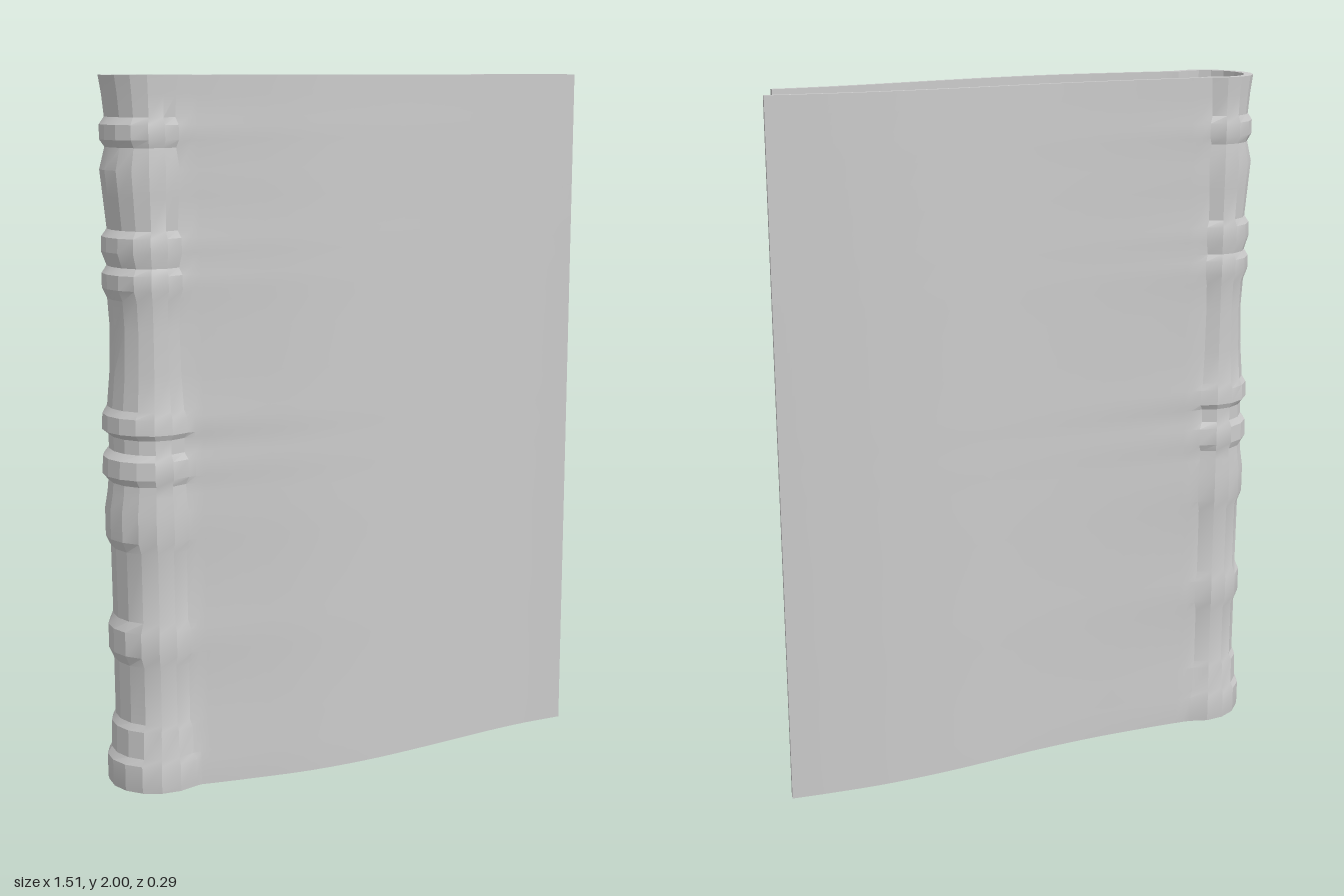
import * as THREE from 'three';
import { toCreasedNormals } from 'three/addons/utils/BufferGeometryUtils.js';

const grey = () => new THREE.MeshStandardMaterial({ color: 0xcccccc });
const curve = (pts, n) => new THREE.SplineCurve(pts.map(p => new THREE.Vector2(...p))).getPoints(n);

// Outline in plan (x, z), running back board -> spine -> front board
const backBoard = curve([[0.755, -0.1], [0.66, -0.112], [0.5, -0.127], [0.35, -0.13], [0.2, -0.125],
  [0, -0.112], [-0.2, -0.108], [-0.4, -0.116], [-0.515, -0.124]], 24);
const frontBoard = curve([[-0.52, 0.108], [-0.4, 0.124], [-0.2, 0.143], [0, 0.138], [0.2, 0.114],
  [0.4, 0.084], [0.55, 0.067], [0.69, 0.063]], 24);
const spine = [];
for (let i = 0; i <= 11; i++) {
  const a = -Math.PI / 3 - (i / 11) * (Math.PI * 4 / 3);
  spine.push({ x: -0.61 + 0.12 * Math.cos(a), y: -0.008 + 0.133 * Math.sin(a), a });
}
const outline = [...backBoard, ...spine, ...frontBoard];

// Spine silhouette: [height, leftmost x], giving the raised bands
const bands = [[0, -0.754], [0.01, -0.757], [0.08, -0.757], [0.1, -0.744], [0.18, -0.742], [0.2, -0.73],
  [0.37, -0.73], [0.4, -0.744], [0.47, -0.744], [0.5, -0.729], [0.7, -0.73], [0.73, -0.744], [0.81, -0.744],
  [0.86, -0.735], [0.89, -0.732], [0.91, -0.748], [0.96, -0.746], [0.98, -0.728], [1.02, -0.728],
  [1.035, -0.746], [1.08, -0.744], [1.1, -0.73], [1.2, -0.72], [1.32, -0.716], [1.4, -0.721], [1.43, -0.735],
  [1.47, -0.735], [1.49, -0.72], [1.53, -0.735], [1.57, -0.733], [1.59, -0.717], [1.68, -0.726],
  [1.75, -0.733], [1.81, -0.717], [1.83, -0.731], [1.87, -0.731], [1.89, -0.716], [1.95, -0.722], [2, -0.73]];

// Outline moved inwards by the board and spine thickness
function inset(board, back) {
  return outline.map((p, i) => {
    const q = outline[Math.max(i - 1, 0)], r = outline[Math.min(i + 1, outline.length - 1)];
    const dx = r.x - q.x, dz = r.y - q.y, l = Math.hypot(dx, dz);
    const t = p.a === undefined ? board : back;
    return { x: p.x + dz / l * t, y: p.y - dx / l * t };
  });
}

// Outline at one height: the spine swells with the bands, boards ripple faintly
function section(left) {
  const d = -0.73 - left;
  return outline.map((p) => {
    if (p.a !== undefined) return { x: p.x + d * Math.cos(p.a), y: p.y + 0.35 * d * Math.sin(p.a) };
    return { x: p.x, y: p.y + Math.sign(p.y) * 0.12 * d * Math.exp(-(p.x + 0.52) / 0.25) };
  });
}

function coverGeometry() {
  const inner = inset(0.014, 0.025), n = outline.length, m = 2 * n;
  const pos = [], idx = [];
  for (const [y, left] of bands) {
    for (const p of [...section(left), ...inner.slice().reverse()]) pos.push(p.x, y, p.y);
  }
  const quad = (a, b, c, d) => idx.push(a, b, c, a, c, d);
  // walls
  for (let j = 0; j < bands.length - 1; j++) {
    for (let i = 0; i < m; i++) {
      const k = (i + 1) % m;
      quad(j * m + i, j * m + k, (j + 1) * m + k, (j + 1) * m + i);
    }
  }
  // top and bottom rims
  const top = (bands.length - 1) * m;
  for (let i = 0; i < n - 1; i++) {
    quad(top + i, top + i + 1, top + m - 2 - i, top + m - 1 - i);
    quad(i, m - 1 - i, m - 2 - i, i + 1);
  }
  const g = new THREE.BufferGeometry();
  g.setAttribute('position', new THREE.Float32BufferAttribute(pos, 3));
  g.setIndex(idx);
  return toCreasedNormals(g, 0.32);
}

// Page block with a hollow fore edge, recessed at head and tail
function pagesGeometry() {
  const foreEdge = curve([[0.67, 0.052], [0.664, 0.01], [0.672, -0.035], [0.688, -0.068], [0.712, -0.096]], 10);
  const pts = [...inset(0.01, 0.02).filter(p => p.x < 0.66), ...foreEdge];
  const shape = new THREE.Shape(pts.map(p => new THREE.Vector2(p.x, -p.y)));
  const g = new THREE.ExtrudeGeometry(shape, { depth: 1.945, bevelEnabled: false });
  g.rotateX(-Math.PI / 2).translate(0, 0.02, 0);
  return toCreasedNormals(g, 0.5);
}

export function createModel() {
  const book = new THREE.Group();
  book.name = 'book';
  const cover = new THREE.Mesh(coverGeometry(), grey());
  cover.name = 'cover';
  const pages = new THREE.Mesh(pagesGeometry(), grey());
  pages.name = 'pages';
  book.add(cover, pages);
  return book;
}
